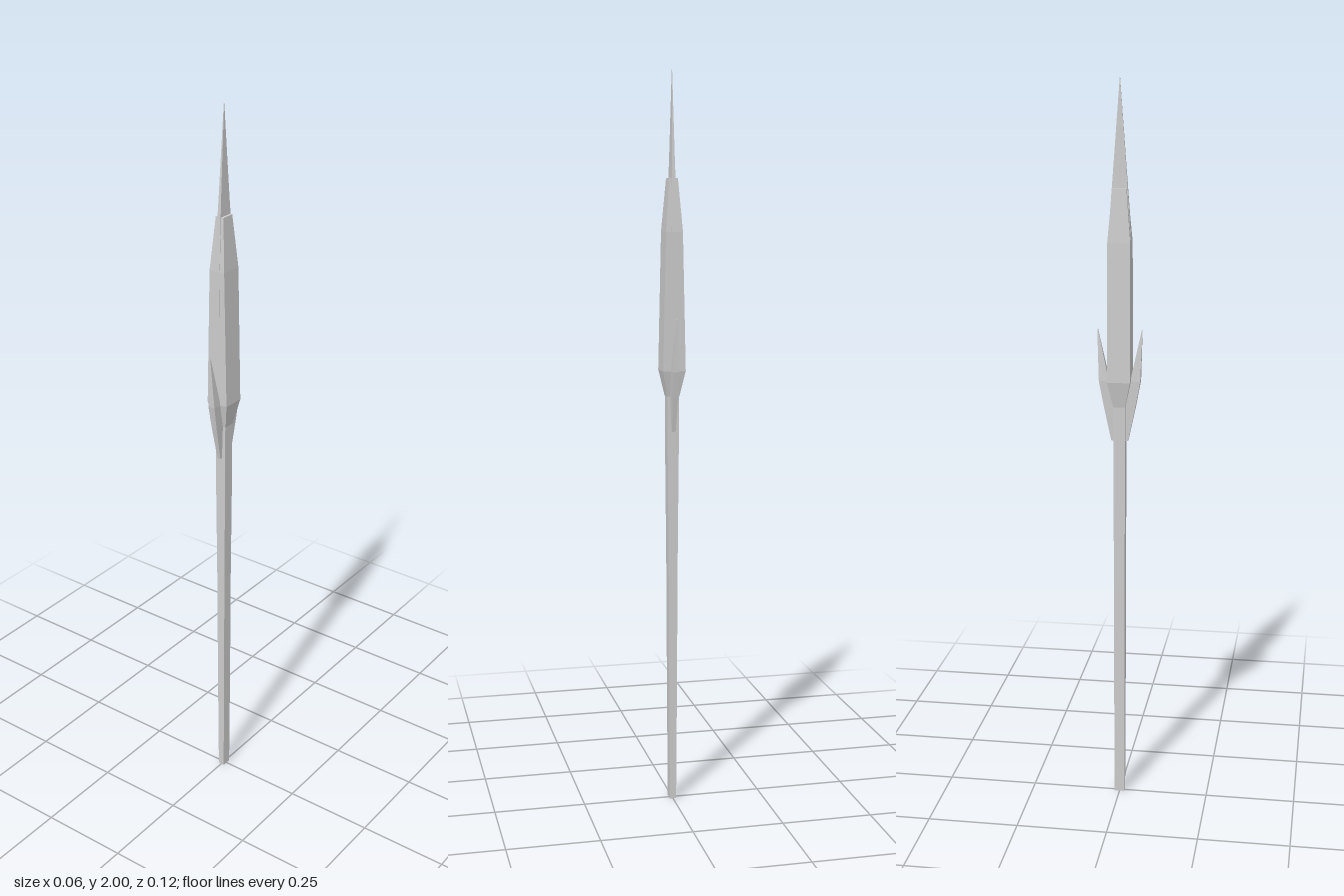
import * as THREE from 'three';

const material = new THREE.MeshStandardMaterial({ color: 0xcccccc, flatShading: true });

// Lofts rectangular sections [y, x0, x1, z0, z1], listed from bottom to top, and caps the ends.
function loft(name, sections) {
  const positions = [];
  const rings = sections.map(([y, x0, x1, z0, z1]) => [
    [x0, y, z1], [x1, y, z1], [x1, y, z0], [x0, y, z0],
  ]);
  const quad = (a, b, c, d) => positions.push(...a, ...b, ...c, ...a, ...c, ...d);
  for (let i = 0; i < rings.length - 1; i++) {
    const low = rings[i], high = rings[i + 1];
    for (let k = 0; k < 4; k++) {
      const n = (k + 1) % 4;
      quad(low[k], low[n], high[n], high[k]);
    }
  }
  const [a, b, c, d] = rings[0];
  quad(d, c, b, a);
  quad(...rings[rings.length - 1]);
  const geometry = new THREE.BufferGeometry();
  geometry.setAttribute('position', new THREE.Float32BufferAttribute(positions, 3));
  geometry.computeVertexNormals();
  const mesh = new THREE.Mesh(geometry, material);
  mesh.name = name;
  return mesh;
}

// A section centred on the axis, given its half widths.
const centred = (y, hx, hz) => [y, -hx, hx, -hz, hz];

export function createModel() {
  const group = new THREE.Group();
  group.name = 'spear';

  // Tapered square shaft
  group.add(loft('shaft', [
    centred(0, 0.009, 0.014),
    centred(0.33, 0.011, 0.015),
    centred(0.66, 0.0125, 0.015),
    centred(1.0, 0.0155, 0.016),
    centred(1.16, 0.016, 0.016),
  ]));

  // Thin central blade running up to the point
  group.add(loft('blade', [
    centred(1.14, 0.01, 0.016),
    centred(1.21, 0.01, 0.031),
    centred(1.58, 0.009, 0.031),
    centred(1.76, 0.004, 0.018),
    centred(2.0, 0.0005, 0.0005),
  ]));

  // Thick head body around the blade
  group.add(loft('headBody', [
    centred(1.14, 0.017, 0.016),
    centred(1.21, 0.031, 0.031),
    centred(1.58, 0.023, 0.0305),
    centred(1.72, 0.012, 0.0185),
  ]));

  // Front and back barbs
  for (const [name, angle] of [['frontBarb', 0], ['backBarb', Math.PI]]) {
    const barb = loft(name, [
      [1.045, -0.005, 0.005, 0.01, 0.023],
      [1.14, -0.008, 0.008, 0.013, 0.043],
      [1.21, -0.01, 0.01, 0.029, 0.056],
      [1.35, -0.001, 0.001, 0.059, 0.061],
    ]);
    barb.rotation.y = angle;
    group.add(barb);
  }
  return group;
}
